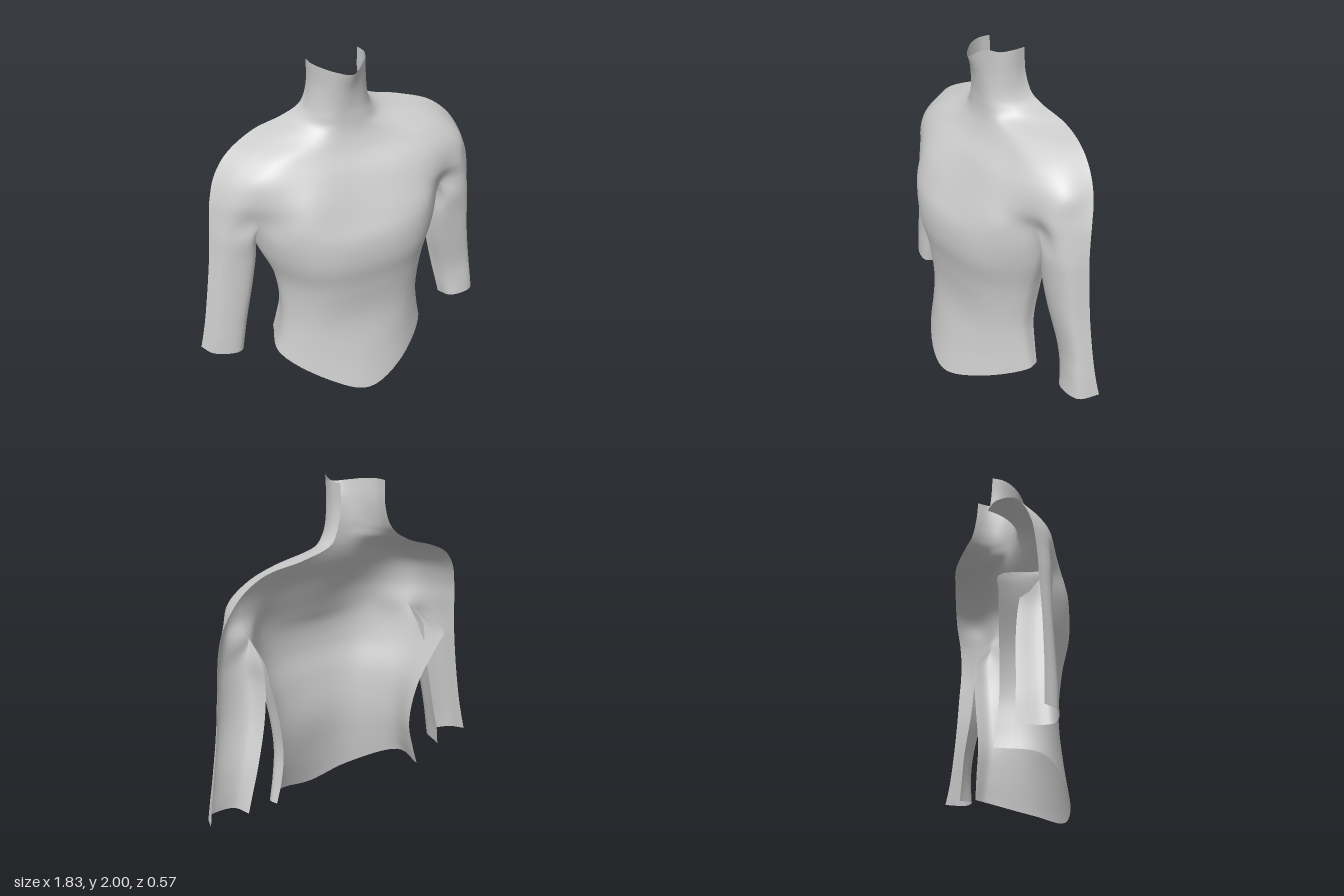
import * as THREE from 'three';

const N = 6; // samples per span, across and down
const NECK_ROWS = 3; // control rows that belong to the neck

// Upper contours, top to armpit: y, then x,z of back edge, outer, crease, chest
const UPPER_RIGHT = [
  [1.97, -.18, -.19, -.18, -.12, -.15, -.05, -.10, .01],
  [1.85, -.18, -.195, -.18, -.13, -.15, -.06, -.10, -.005],
  [1.75, -.20, -.21, -.195, -.13, -.165, -.065, -.10, -.012],
  [1.70, -.23, -.23, -.215, -.14, -.18, -.07, -.115, -.016],
  [1.65, -.31, -.252, -.265, -.15, -.21, -.075, -.125, -.014],
  [1.60, -.465, -.258, -.38, -.13, -.28, -.055, -.16, -.003],
  [1.52, -.63, -.215, -.53, -.09, -.42, 0, -.24, .035],
  [1.42, -.715, -.19, -.64, -.075, -.52, .03, -.28, .10],
  [1.30, -.76, -.165, -.68, -.05, -.55, .035, -.32, .16],
  [1.18, -.78, -.155, -.70, -.05, -.555, .005, -.36, .185],
];
const UPPER_LEFT = [
  [1.97, .11, -.19, .115, -.12, .09, -.05, .05, .015],
  [1.85, .115, -.20, .12, -.13, .10, -.06, .05, -.005],
  [1.75, .15, -.215, .14, -.13, .115, -.065, .06, -.012],
  [1.70, .20, -.238, .175, -.145, .14, -.072, .075, -.012],
  [1.65, .38, -.248, .28, -.15, .195, -.078, .105, -.012],
  [1.60, .56, -.20, .47, -.10, .33, -.035, .17, 0],
  [1.52, .665, -.165, .59, -.04, .45, .03, .24, .04],
  [1.42, .73, -.135, .67, 0, .525, .07, .28, .11],
  [1.30, .77, -.10, .66, .045, .535, .08, .32, .16],
  [1.20, .785, -.085, .68, .04, .53, .045, .36, .185],
];
const UPPER_MID = [.06, .02, .002, 0, .002, .01, .04, .10, .16, .215]; // z on the centre line
const TOP_Y = [1.97, 1.97, 1.965, 1.955, 1.95, 1.995, 1.98, 1.985, 1.985]; // uneven rim

// Torso below the armpit: x,y,z of back edge, side, belly
const TORSO_RIGHT = [
  [-.58, 1.07, -.28, -.545, 1.08, -.02, -.35, 1.08, .20],
  [-.555, 1.01, -.27, -.515, .95, -.02, -.32, .93, .205],
  [-.44, .75, -.225, -.445, .75, -.02, -.28, .75, .178],
  [-.40, .50, -.21, -.43, .50, -.02, -.27, .50, .155],
  [-.42, .34, -.23, -.45, .33, -.01, -.27, .28, .17],
  [-.44, .23, -.25, -.485, .21, -.02, -.25, .083, .21],
];
const TORSO_LEFT = [
  [.51, 1.08, -.07, .515, 1.08, .02, .34, 1.08, .205],
  [.485, .95, -.08, .495, .95, .02, .31, .93, .208],
  [.44, .75, -.08, .445, .75, .02, .28, .75, .178],
  [.41, .50, -.07, .415, .50, .02, .27, .50, .155],
  [.43, .33, -.07, .435, .33, .01, .26, .28, .17],
  [.46, .20, -.065, .465, .19, 0, .24, .083, .21],
];
const TORSO_MID = [[1.08, .255], [.93, .261], [.75, .226], [.5, .2], [.22, .24], [0, .285]]; // y, z

// Arms below the armpit: y, x,z of outer edge, outer front, inner front, inner edge, hem tilt
const ARM_RIGHT = [
  [1.08, -.79, -.15, -.73, -.06, -.58, -.01, -.555, -.13],
  [.95, -.805, -.15, -.745, -.065, -.585, -.03, -.545, -.16],
  [.75, -.835, -.15, -.78, -.075, -.615, -.045, -.57, -.185],
  [.50, -.875, -.16, -.82, -.08, -.665, -.055, -.615, -.20],
  [.39, -.895, -.17, -.84, -.085, -.685, -.055, -.637, -.21],
  [.29, -.915, -.18, -.86, -.095, -.705, -.055, -.655, -.205, -.004],
];
const ARM_LEFT = [
  [1.08, .795, -.08, .715, .03, .57, .045, .52, -.06],
  [.95, .805, -.085, .74, .015, .565, .03, .51, -.07],
  [.75, .825, -.09, .765, .005, .59, 0, .53, -.08],
  [.50, .865, -.10, .82, -.02, .66, -.03, .595, -.10],
  [.37, .89, -.11, .84, -.015, .69, -.03, .63, -.10],
  [.265, .91, -.125, .86, -.015, .71, -.015, .665, -.10, -.009],
];

const v = (x, y, z) => new THREE.Vector3(x, y, z);
const flatRow = ([y, ...xz]) => [0, 1, 2, 3].map(i => v(xz[2 * i], y + i * (xz[8] ?? 0), xz[2 * i + 1]));
const fullRow = a => [0, 3, 6].map(i => v(a[i], a[i + 1], a[i + 2]));

// Smooth curve through the points, N samples per span
function sample(points) {
  const curve = new THREE.CatmullRomCurve3(points);
  const count = (points.length - 1) * N;
  return Array.from({ length: count + 1 }, (_, i) => curve.getPoint(i / count));
}

// Runs a smooth curve down every column of a stack of rows
function loft(rows) {
  const columns = rows[0].map((_, c) => sample(rows.map(r => r[c])));
  return columns[0].map((_, r) => columns.map(col => col[r]));
}

export function createModel() {
  const armR = [], torso = [], armL = [];
  const repeat = p => Array(N).fill(p);

  // Neck, shoulders and chest: one contour shared out to the three strips
  UPPER_RIGHT.forEach((row, i) => {
    const pts = [...flatRow(row), v(-.025, row[0], UPPER_MID[i]), ...flatRow(UPPER_LEFT[i]).reverse()];
    if (i === 0) pts.forEach((p, k) => { p.y = TOP_Y[k]; });
    const s = sample(pts);
    armR.push([...s.slice(0, 2 * N + 1), ...repeat(s[2 * N])]);
    torso.push([...repeat(s[2 * N]), ...s.slice(2 * N, 6 * N + 1), ...repeat(s[6 * N])]);
    armL.push([...repeat(s[6 * N]), ...s.slice(6 * N)]);
  });

  // Below the armpits the strips separate
  TORSO_RIGHT.forEach((row, i) => {
    const [y, z] = TORSO_MID[i];
    torso.push(sample([...fullRow(row), v(-.02, y, z), ...fullRow(TORSO_LEFT[i]).reverse()]));
    armR.push(sample(flatRow(ARM_RIGHT[i])));
    armL.push(sample(flatRow(ARM_LEFT[i]).reverse()));
  });

  const [gR, gT, gL] = [armR, torso, armL].map(loft);

  // Close the seams above the armpits
  const armpit = (UPPER_RIGHT.length - 1) * N;
  for (let r = 0; r <= armpit; r++) {
    const right = gT[r][N], left = gT[r][5 * N];
    for (let k = 0; k <= N; k++) {
      gT[r][k] = gR[r][2 * N + k] = right;
      gT[r][5 * N + k] = gL[r][k] = left;
    }
  }

  // Shared vertices keep the shading smooth from part to part
  const positions = [], ids = new Map();
  const id = p => {
    const key = p.toArray().map(n => Math.round(n * 1e5)).join();
    if (!ids.has(key)) {
      ids.set(key, positions.length / 3);
      positions.push(p.x, p.y, p.z);
    }
    return ids.get(key);
  };
  const faces = { neck: [], torso: [], rightArm: [], leftArm: [] };
  const addStrip = (grid, name) => {
    for (let r = 0; r < grid.length - 1; r++) {
      const out = faces[r < NECK_ROWS * N ? 'neck' : name];
      for (let c = 0; c < grid[r].length - 1; c++) {
        const [a, b, d, e] = [grid[r][c], grid[r][c + 1], grid[r + 1][c], grid[r + 1][c + 1]].map(id);
        for (const t of [[a, d, b], [b, d, e]]) {
          if (new Set(t).size === 3) out.push(...t);
        }
      }
    }
  };
  addStrip(gR, 'rightArm');
  addStrip(gT, 'torso');
  addStrip(gL, 'leftArm');

  const whole = new THREE.BufferGeometry();
  whole.setAttribute('position', new THREE.Float32BufferAttribute(positions, 3));
  whole.setIndex(Object.values(faces).flat());
  whole.computeVertexNormals();

  const material = new THREE.MeshStandardMaterial({ color: 0xcccccc, side: THREE.DoubleSide });
  const group = new THREE.Group();
  group.name = 'openBackTorso';
  for (const [name, index] of Object.entries(faces)) {
    const geometry = new THREE.BufferGeometry();
    geometry.setAttribute('position', whole.attributes.position);
    geometry.setAttribute('normal', whole.attributes.normal);
    geometry.setIndex(index);
    const mesh = new THREE.Mesh(geometry, material);
    mesh.name = name;
    group.add(mesh);
  }
  return group;
}
